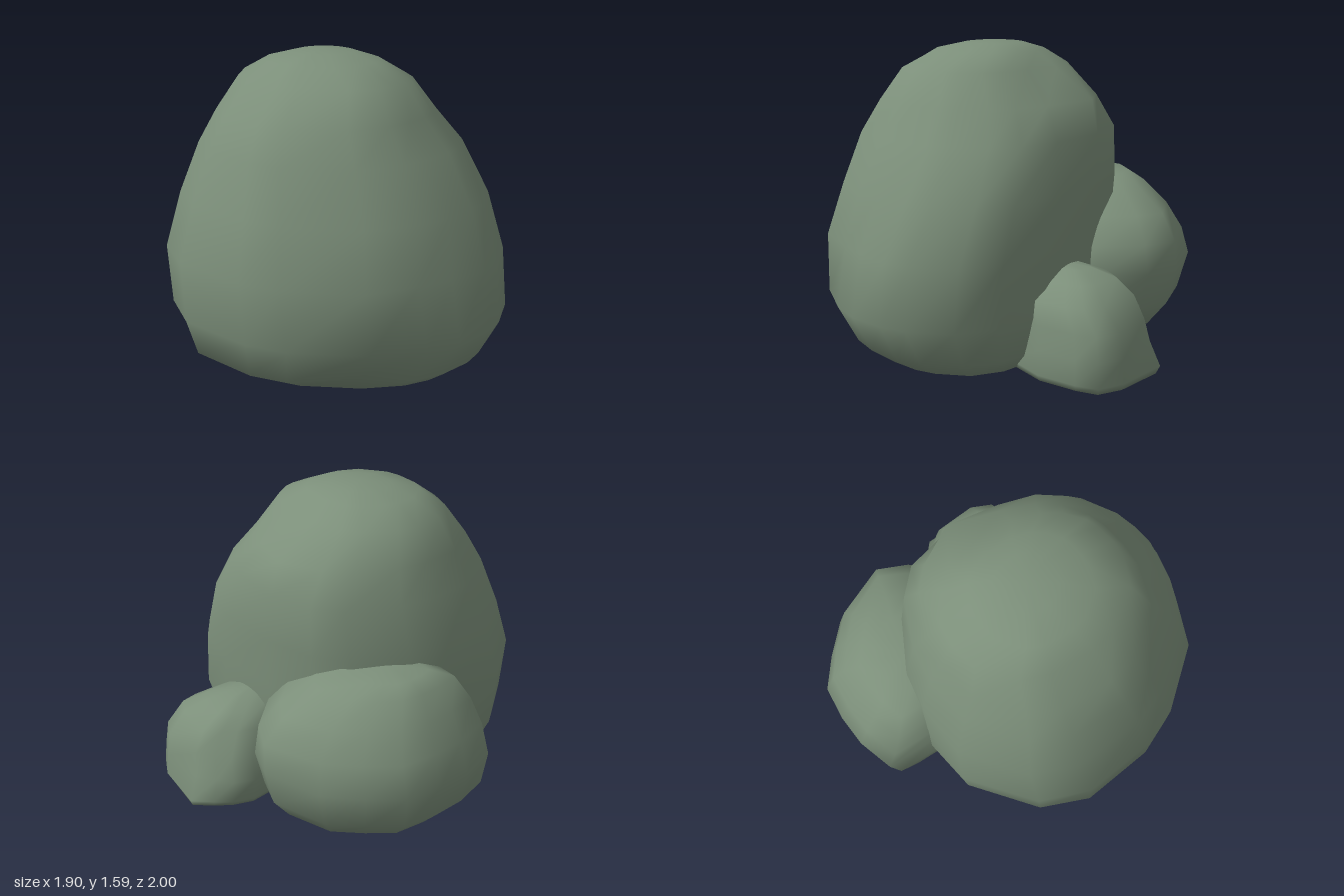
import * as THREE from 'three';

const stone = new THREE.MeshStandardMaterial({ color: 0x7c8f7a });
stone.name = 'mossy grey stone';

// Lofts a ground outline [x, z] through levels [y, xMin, xMax, zMin, zMax, round];
// round (0..1) turns the outline into a full superellipse;
// bumps [x, y, z, dx, dy, dz, radius] push the surface locally.
function boulder(name, outline, levels, bumps) {
  const box = new THREE.Box2().setFromPoints(outline.map(([x, z]) => new THREE.Vector2(x, z)));
  const size = box.getSize(new THREE.Vector2());
  const n = outline.length;
  const pos = [];
  const index = [];
  for (const [y, x0, x1, z0, z1, round = 0] of levels) {
    for (const [x, z] of outline) {
      const u = (x - box.min.x) / size.x - 0.5;
      const v = (z - box.min.y) / size.y - 0.5;
      const full = 0.5 / (Math.abs(u) ** 2.3 + Math.abs(v) ** 2.3) ** (1 / 2.3);
      const k = THREE.MathUtils.lerp(1, full, round);
      pos.push((x0 + x1) / 2 + u * k * (x1 - x0), y, (z0 + z1) / 2 + v * k * (z1 - z0));
    }
  }
  for (let r = 0; r < levels.length - 1; r++) {
    for (let i = 0; i < n; i++) {
      const a = r * n + i;
      const b = r * n + (i + 1) % n;
      index.push(a, b, b + n, a, b + n, a + n);
    }
  }
  // Close the bottom and the crown with fans
  for (const r of [0, levels.length - 1]) {
    const [y, x0, x1, z0, z1] = levels[r];
    const c = pos.length / 3;
    pos.push((x0 + x1) / 2, y + (r ? 0.01 : -0.01), (z0 + z1) / 2);
    for (let i = 0; i < n; i++) {
      const a = r * n + i;
      const b = r * n + (i + 1) % n;
      index.push(...(r ? [a, b, c] : [b, a, c]));
    }
  }
  for (const [bx, by, bz, dx, dy, dz, radius] of bumps) {
    for (let i = 0; i < pos.length; i += 3) {
      const d2 = (pos[i] - bx) ** 2 + (pos[i + 1] - by) ** 2 + (pos[i + 2] - bz) ** 2;
      const w = Math.exp(-d2 / (radius * radius));
      pos[i] += dx * w;
      pos[i + 1] += dy * w;
      pos[i + 2] += dz * w;
    }
  }
  const geo = new THREE.BufferGeometry();
  geo.setAttribute('position', new THREE.Float32BufferAttribute(pos, 3));
  geo.setIndex(index);
  geo.computeVertexNormals();
  const mesh = new THREE.Mesh(geo, stone);
  mesh.name = name;
  return mesh;
}

export function createModel() {
  const group = new THREE.Group();
  group.name = 'boulderCluster';

  // Tall main boulder, outline runs from the right side round the front
  group.add(boulder('mainBoulder', [
    [-0.96, -0.14], [-0.93, 0.27], [-0.85, 0.47], [-0.61, 0.78], [-0.37, 0.93], [-0.2, 0.99],
    [0, 1], [0.14, 0.97], [0.35, 0.86], [0.47, 0.68], [0.52, 0.4], [0.5, 0],
    [0.43, -0.3], [0.3, -0.47], [0.02, -0.62], [-0.2, -0.66], [-0.52, -0.66], [-0.85, -0.4],
  ], [
    [0.01, -0.5, 0.28, -0.42, 0.62],
    [0.04, -0.72, 0.38, -0.54, 0.77],
    [0.13, -0.88, 0.45, -0.61, 0.89],
    [0.33, -0.95, 0.49, -0.64, 1],
    [0.63, -0.955, 0.5, -0.66, 0.97, 0.1],
    [0.9, -0.86, 0.51, -0.64, 0.86, 0.4],
    [1.15, -0.77, 0.47, -0.56, 0.71, 0.8],
    [1.31, -0.67, 0.36, -0.49, 0.59, 1],
    [1.47, -0.53, 0.22, -0.42, 0.5, 1],
    [1.55, -0.42, 0.12, -0.27, 0.31, 1],
    [1.585, -0.27, 0.02, -0.14, 0.16, 1],
  ], [
    [0.38, 1.31, 0, 0.1, 0.01, 0, 0.13], // pointed shoulder
    [0.33, 1.22, -0.25, 0.04, 0.01, -0.03, 0.2], // fullness behind the shoulder
    [-0.3, 0.63, 0.93, 0, 0, -0.05, 0.15], // front hollow
    [-0.6, 0.13, 0.7, 0.04, 0.02, -0.05, 0.14], // undercut foot
    [-0.57, 0.04, -0.45, 0.08, 0.06, 0.07, 0.25], // undercut at the back
    [0.5, 0.33, 0.2, 0.06, 0, 0, 0.16], // joins the side stone
    [-0.22, 0.4, -0.65, 0, 0, -0.04, 0.15], // joins the back boulder
  ]));

  // Rounded boulder behind, its inner lobe running under the main one
  group.add(boulder('backBoulder', [
    [-0.2, -0.93], [-0.21, -0.65], [-0.42, -0.55], [-0.3, -0.25], [0.1, -0.05], [0.35, 0.02], [0.53, -0.03],
    [0.71, -0.22], [0.77, -0.4], [0.67, -0.71], [0.52, -0.86], [0.37, -0.98], [0.18, -1], [0, -0.99],
  ], [
    [0.05, -0.32, 0.52, -0.74, -0.1],
    [0.09, -0.38, 0.62, -0.83, -0.05],
    [0.22, -0.42, 0.72, -0.95, 0],
    [0.42, -0.42, 0.77, -1, 0.02],
    [0.57, -0.41, 0.74, -0.94, 0],
    [0.7, -0.35, 0.64, -0.87, -0.1],
    [0.81, -0.25, 0.49, -0.79, -0.23],
    [0.86, -0.08, 0.36, -0.72, -0.35],
  ], [
    [0.7, 0.65, -0.4, 0.05, 0, 0, 0.1], // side knuckle
  ]));

  // Low wedge stone at the left side
  group.add(boulder('sideStone', [
    [0.25, 0.1], [0.28, 0.42], [0.54, 0.51], [0.75, 0.5], [0.86, 0.47], [0.92, 0.34],
    [0.95, 0.04], [0.86, -0.04], [0.78, -0.1], [0.67, -0.14], [0.4, -0.1],
  ], [
    [0.03, 0.25, 0.93, -0.1, 0.48],
    [0.07, 0.25, 0.95, -0.13, 0.51],
    [0.19, 0.25, 0.94, -0.14, 0.5],
    [0.31, 0.25, 0.92, -0.1, 0.49],
    [0.42, 0.25, 0.82, -0.04, 0.46],
    [0.49, 0.25, 0.72, 0.01, 0.35],
    [0.53, 0.3, 0.6, 0.1, 0.25],
  ], [
    [0.93, 0.26, 0, -0.07, 0, 0.05, 0.12], // hollow above the low tip
  ]));
  return group;
}
